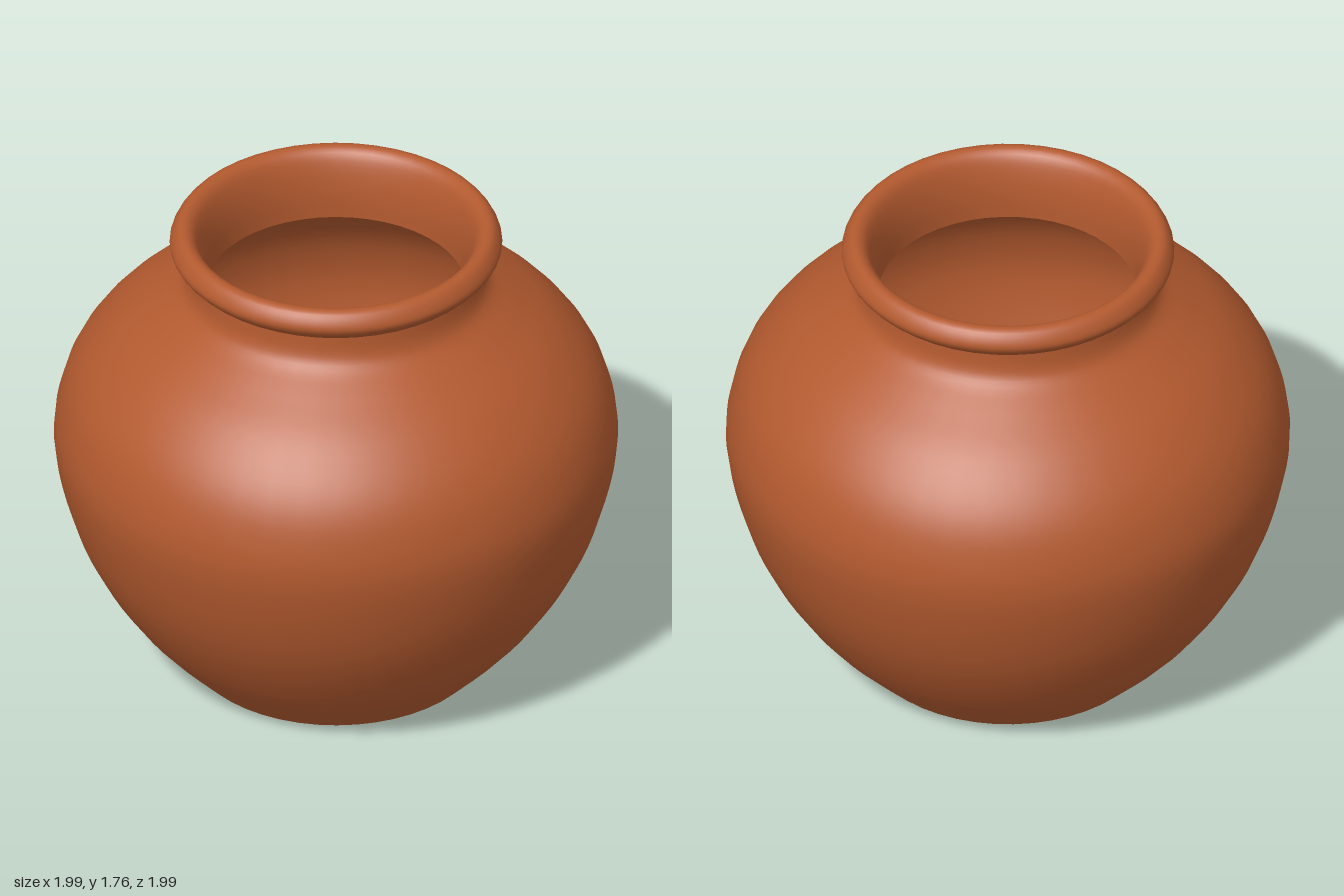
import * as THREE from 'three';

const SEGMENTS = 48;

// Smooth curve through a few [radius, height] points
function smoothProfile(points, divisions) {
  const curve = new THREE.SplineCurve(points.map(([r, y]) => new THREE.Vector2(r, y)));
  return curve.getPoints(divisions);
}

export function createModel() {
  const group = new THREE.Group();
  group.name = 'clayPot';

  const terracotta = new THREE.MeshStandardMaterial({ color: 0xb35a2f });
  terracotta.name = 'terracotta';

  const addLathe = (name, profile) => {
    const mesh = new THREE.Mesh(new THREE.LatheGeometry(profile, SEGMENTS), terracotta);
    mesh.name = name;
    group.add(mesh);
  };

  // Flat disc facing up or down
  const addDisc = (name, radius, y, tilt) => {
    const mesh = new THREE.Mesh(new THREE.CircleGeometry(radius, SEGMENTS), terracotta);
    mesh.name = name;
    mesh.rotation.x = tilt;
    mesh.position.y = y;
    group.add(mesh);
  };

  // Outer body from the foot up to the shoulder and neck
  addLathe('body', smoothProfile([
    [0.525, 0], [0.71, 0.2], [0.85, 0.41], [0.94, 0.62], [0.995, 0.87],
    [0.975, 1.05], [0.91, 1.2], [0.79, 1.34], [0.65, 1.445], [0.56, 1.51],
    [0.53, 1.56], [0.522, 1.625],
  ], 44));

  // Rolled lip, running down to the inside of the neck
  addLathe('rim', smoothProfile([
    [0.515, 1.622], [0.555, 1.648], [0.585, 1.685], [0.583, 1.715],
    [0.56, 1.748], [0.53, 1.754], [0.5, 1.73], [0.477, 1.67],
    [0.463, 1.59], [0.46, 1.5],
  ], 30));

  // Inner wall, from the neck down to the floor
  addLathe('innerWall', smoothProfile([
    [0.46, 1.5], [0.58, 1.42], [0.74, 1.31], [0.86, 1.18], [0.925, 1.04],
    [0.945, 0.87], [0.89, 0.62], [0.8, 0.41], [0.66, 0.2], [0.51, 0.03],
  ], 32));

  addDisc('floor', 0.511, 0.03, -Math.PI / 2);
  addDisc('base', 0.525, 0, Math.PI / 2);

  return group;
}
